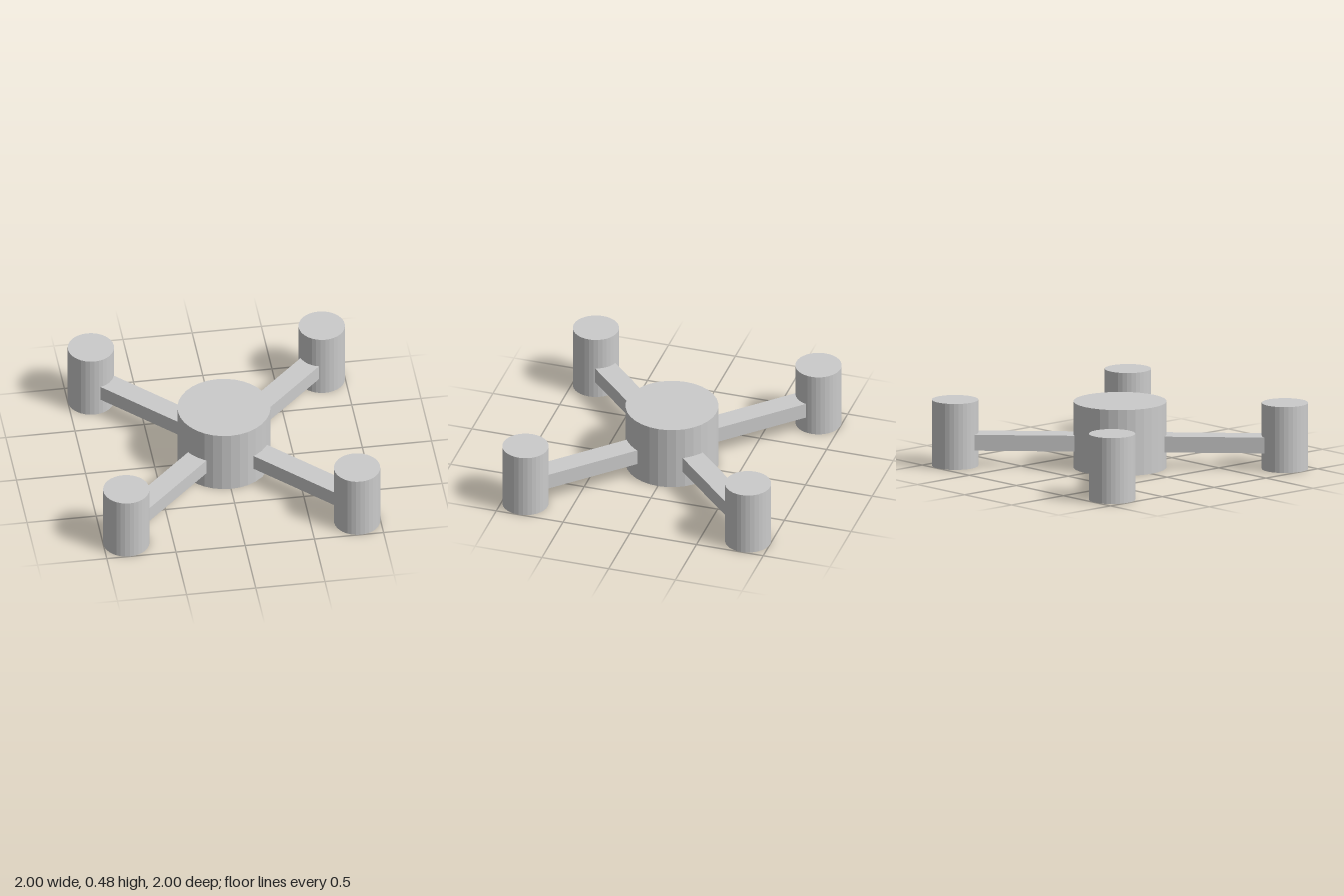
import * as THREE from 'three';

const HEIGHT = 0.48;
const POD_OFFSET = 0.834;
const material = new THREE.MeshStandardMaterial({ color: 0xcccccc, flatShading: true });

// Upright drum standing on the ground
function drum(name, radius, x, z) {
  const mesh = new THREE.Mesh(new THREE.CylinderGeometry(radius, radius, HEIGHT, 32), material);
  mesh.name = name;
  mesh.position.set(x, HEIGHT / 2, z);
  return mesh;
}

// Diagonal bar from inside the hub to the middle of a pod
function arm(name, angle) {
  const start = 0.2;
  const end = POD_OFFSET * Math.SQRT2;
  const geometry = new THREE.BoxGeometry(end - start, 0.115, 0.163);
  geometry.translate((start + end) / 2, 0.1825, 0);
  const mesh = new THREE.Mesh(geometry, material);
  mesh.name = name;
  mesh.rotation.y = angle;
  return mesh;
}

export function createModel() {
  const model = new THREE.Group();
  model.name = 'fourArmFrame';

  // Central body
  model.add(drum('hub', 0.333, 0, 0));

  // Four corner arms, each ending in a pod
  for (const [side, sx] of [['Left', 1], ['Right', -1]]) {
    for (const [end, sz] of [['front', 1], ['back', -1]]) {
      model.add(arm(`${end}${side}Arm`, Math.atan2(-sz, sx)));
      model.add(drum(`${end}${side}Pod`, 0.166, sx * POD_OFFSET, sz * POD_OFFSET));
    }
  }
  return model;
}
